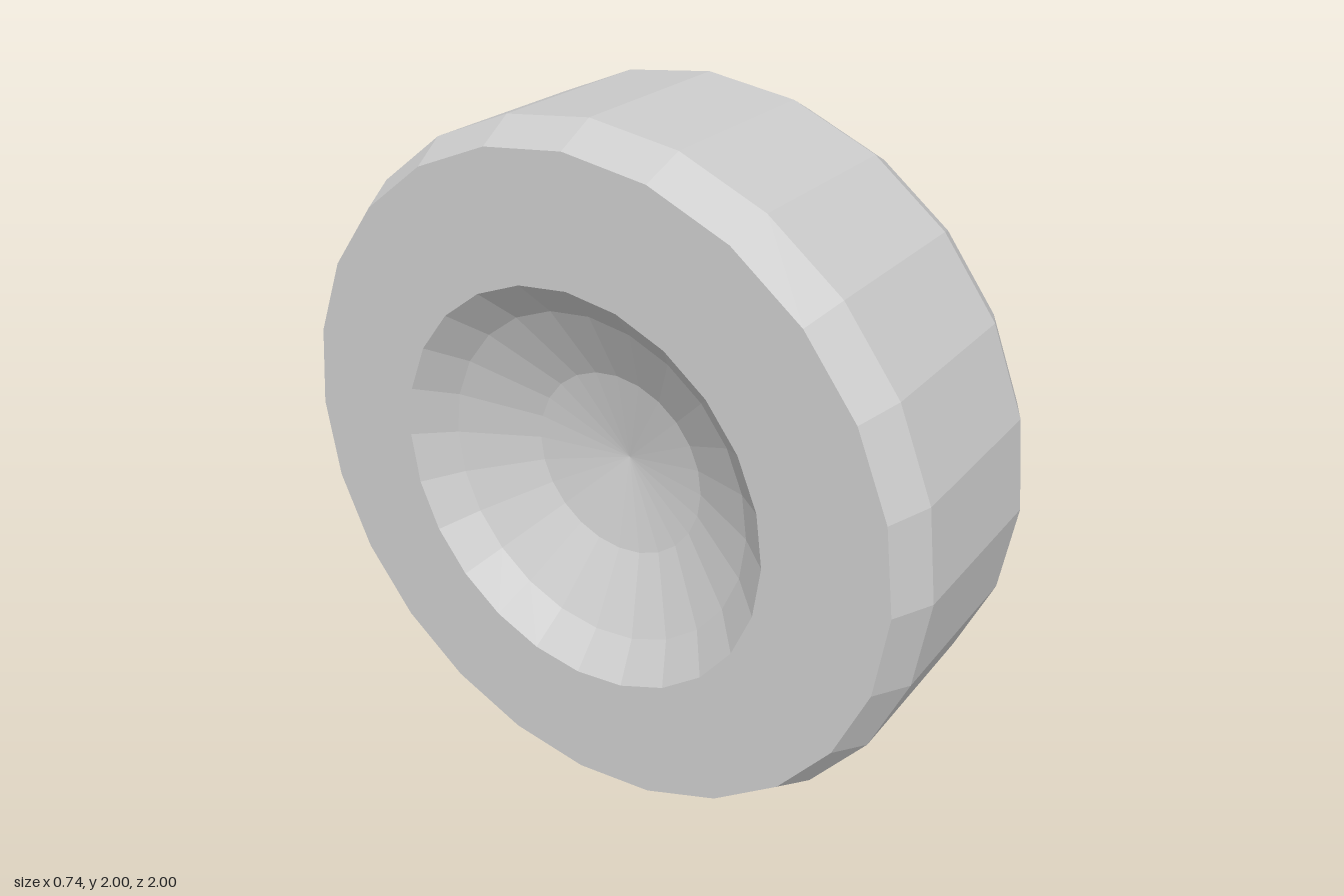
import * as THREE from 'three';

const SIDES = 24;

// Faceted solid of revolution around the x axis; points are [radius, x].
function turned(name, points, material) {
  const geometry = new THREE.LatheGeometry(points.map(([r, x]) => new THREE.Vector2(r, x)), SIDES);
  geometry.rotateZ(-Math.PI / 2);
  const mesh = new THREE.Mesh(geometry, material);
  mesh.name = name;
  return mesh;
}

export function createModel() {
  const material = new THREE.MeshStandardMaterial({ color: 0xcccccc, flatShading: true });
  const half = 0.37, shoulder = 0.26, faceRadius = 0.945, rimRadius = 0.59;

  const wheel = new THREE.Group();
  wheel.name = 'wheel';

  // Tyre: recessed side ring, bevel, tread, bevel, flat closed side
  wheel.add(turned('tyre', [
    [rimRadius, -half],
    [faceRadius, -half],
    [1, -shoulder],
    [1, shoulder],
    [faceRadius, half],
    [0, half],
  ], material));

  // Shallow dished hub on the -x side
  wheel.add(turned('hubDish', [
    [0, -0.11],
    [0.275, -0.165],
    [0.49, -0.28],
    [rimRadius, -half],
  ], material));

  wheel.position.y = 1;
  const model = new THREE.Group();
  model.name = 'wheelModel';
  model.add(wheel);
  return model;
}
